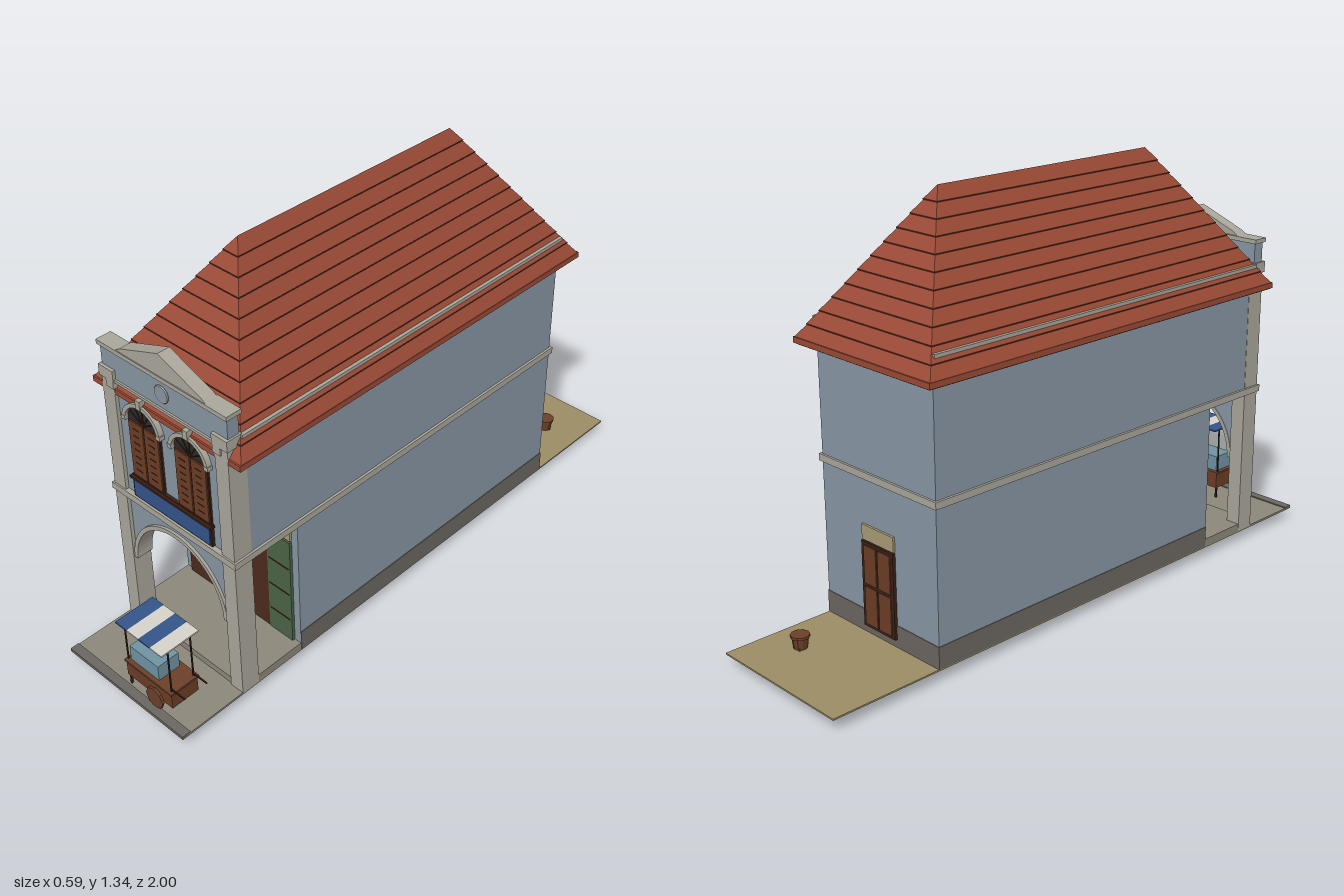
import * as THREE from 'three';

const material = (color, side = THREE.FrontSide) =>
  new THREE.MeshStandardMaterial({ color, side, flatShading: true });
const M = {
  wall: material(0x8796a3), stone: material(0xaaa69b), floor: material(0x8d877b), plinth: material(0x6b6661),
  yard: material(0x9c8d65), roof: material(0x9a4a35), soffit: material(0x5c2a1e), wood: material(0x6b3d25),
  dark: material(0x3a2117), shop: material(0x4c2b1f), green: material(0x4b6447), blue: material(0x34548a),
  glass: material(0x6f93a3), white: material(0xd5d3ca), fan: material(0x2c2b2b), tan: material(0xa99b78),
  leaf: material(0x3f6b35, THREE.DoubleSide), pot: material(0x6b4029),
};

function add(parent, name, geometry, mat, x = 0, y = 0, z = 0) {
  const mesh = new THREE.Mesh(geometry, mat);
  mesh.name = name;
  mesh.position.set(x, y, z);
  parent.add(mesh);
  return mesh;
}

// Box given by its extents along each axis
function box(parent, name, mat, x0, x1, y0, y1, z0, z1) {
  return add(parent, name, new THREE.BoxGeometry(x1 - x0, y1 - y0, z1 - z0), mat,
    (x0 + x1) / 2, (y0 + y1) / 2, (z0 + z1) / 2);
}

const extrude = (shape, depth) =>
  new THREE.ExtrudeGeometry(shape, { depth, bevelEnabled: false, curveSegments: 14 });

// Half-ring band for arch trims
function archBand(rx, ry, w, depth) {
  const s = new THREE.Shape();
  s.moveTo(rx, 0);
  s.absellipse(0, 0, rx, ry, 0, Math.PI, false);
  s.lineTo(-rx + w, 0);
  s.absellipse(0, 0, rx - w, ry - w, Math.PI, 0, true);
  return extrude(s, depth);
}

// Rectangular frustum from two [x0, x1, z0, z1] outlines
function frustum([ax0, ax1, az0, az1], ay, [bx0, bx1, bz0, bz1], by) {
  const g = new THREE.BoxGeometry(1, 1, 1);
  const p = g.attributes.position;
  for (let i = 0; i < p.count; i++) {
    const top = p.getY(i) > 0, right = p.getX(i) > 0, front = p.getZ(i) > 0;
    p.setXYZ(i, top ? (right ? bx1 : bx0) : (right ? ax1 : ax0), top ? by : ay,
      top ? (front ? bz1 : bz0) : (front ? az1 : az0));
  }
  g.computeVertexNormals();
  return g;
}

function buildRoof() {
  const g = new THREE.Group();
  g.name = 'roof';
  const courses = 11, y0 = 0.905, y1 = 1.342;
  const outline = (t, grow = 0) => {
    const x = 0.292 * (1 - t) + grow;
    return [-x, x, -0.675 + 0.292 * t - grow, 0.762 - 0.292 * t + grow];
  };
  box(g, 'eaves', M.roof, -0.295, 0.295, 0.89, 0.908, -0.68, 0.768);
  box(g, 'soffit', M.soffit, -0.29, 0.29, 0.887, 0.892, -0.675, 0.762);
  // Overlapping tile courses
  for (let i = 0; i < courses; i++) {
    const a = i / courses, b = (i + 1) / courses, h = y1 - y0;
    add(g, 'tileCourse', frustum(outline(a, 0.003), y0 + h * a, outline(b), y0 + h * b), M.roof);
    if (i) add(g, 'courseShadow', frustum(outline(a, 0.0032), y0 + h * a - 0.002,
      outline(a, 0.0032), y0 + h * a + 0.001), M.soffit);
  }
  return g;
}

function buildWindow(x) {
  const g = new THREE.Group();
  g.name = 'archedWindow';
  g.position.set(x, 0, 0);
  const half = new THREE.Shape();
  half.absarc(0, 0, 0.066, 0, Math.PI, false);
  add(g, 'fanlight', extrude(half, 0.006), M.fan, 0, 0.832, 0.758);
  add(g, 'windowArch', archBand(0.078, 0.074, 0.013, 0.018), M.stone, 0, 0.832, 0.757);
  box(g, 'keystone', M.stone, -0.009, 0.009, 0.895, 0.925, 0.757, 0.778);
  box(g, 'windowFrame', M.dark, -0.066, 0.066, 0.63, 0.837, 0.757, 0.764);
  for (let i = 1; i < 6; i++) {
    const a = i * Math.PI / 6;
    const bar = add(g, 'fanlightBar', new THREE.BoxGeometry(0.06, 0.003, 0.003), M.dark,
      Math.cos(a) * 0.032, 0.832 + Math.sin(a) * 0.032, 0.765);
    bar.rotation.z = a;
  }
  for (const s of [-1, 1]) {
    const c = s * 0.032;
    box(g, 'shutter', M.wood, c - 0.029, c + 0.029, 0.637, 0.828, 0.758, 0.768);
    for (let k = 0; k < 7; k++)
      box(g, 'louvreSlot', M.dark, c - 0.012, c + 0.012, 0.66 + k * 0.024, 0.663 + k * 0.024, 0.764, 0.769);
  }
  box(g, 'springer', M.stone, -0.08, -0.064, 0.828, 0.842, 0.757, 0.776);
  box(g, 'springer', M.stone, 0.064, 0.08, 0.828, 0.842, 0.757, 0.776);
  return g;
}

function buildFacade() {
  const g = new THREE.Group();
  g.name = 'facade';
  for (const s of [-1, 1]) {
    const px = s * 0.226;
    box(g, 'pillar', M.stone, px - 0.025, px + 0.025, 0.045, 0.96, 0.705, 0.769);
    box(g, 'pillarCap', M.stone, px - 0.03, px + 0.03, 0.935, 0.97, 0.72, 0.774);
    box(g, 'pillarNeck', M.stone, s * 0.213 - 0.015, s * 0.213 + 0.015, 0.91, 0.935, 0.74, 0.774);
  }
  // Wall over the street arch
  const arch = new THREE.Shape();
  arch.moveTo(0.202, 0.3);
  arch.lineTo(0.202, 0.54);
  arch.lineTo(-0.202, 0.54);
  arch.lineTo(-0.202, 0.3);
  arch.absellipse(0, 0.3, 0.195, 0.195, Math.PI, 0, true);
  add(g, 'archWall', extrude(arch, 0.045), M.wall, 0, 0, 0.712);
  add(g, 'archTrim', archBand(0.2, 0.205, 0.014, 0.056), M.stone, 0, 0.295, 0.71);
  // Windows, spandrel panel and sill
  g.add(buildWindow(-0.095), buildWindow(0.095));
  box(g, 'panelFrame', M.dark, -0.163, 0.163, 0.555, 0.632, 0.755, 0.768);
  box(g, 'bluePanel', M.blue, -0.157, 0.157, 0.56, 0.62, 0.757, 0.771);
  box(g, 'windowSill', M.dark, -0.167, 0.167, 0.622, 0.63, 0.755, 0.776);
  // Parapet with pediment and medallion
  box(g, 'parapet', M.wall, -0.25, 0.25, 0.94, 1.037, 0.725, 0.764);
  box(g, 'parapetBase', M.stone, -0.2, 0.2, 0.932, 0.941, 0.725, 0.77);
  box(g, 'parapetCornice', M.stone, -0.257, 0.257, 1.034, 1.048, 0.719, 0.771);
  const ped = new THREE.Shape([[-0.2, 1.034], [0.2, 1.034], [0.16, 1.06], [0, 1.12], [-0.16, 1.06]]
    .map(([x, y]) => new THREE.Vector2(x, y)));
  add(g, 'pediment', extrude(ped, 0.042), M.stone, 0, 0, 0.726);
  add(g, 'medallion', new THREE.CylinderGeometry(0.024, 0.024, 0.01, 18), M.wall, 0, 0.99, 0.764).rotation.x = Math.PI / 2;
  add(g, 'medallionRing', new THREE.TorusGeometry(0.025, 0.003, 5, 20), M.stone, 0, 0.99, 0.767);
  return g;
}

function buildShopFront() {
  const g = new THREE.Group();
  g.name = 'shopFront';
  box(g, 'shopShutter', M.shop, -0.225, 0.13, 0.07, 0.455, 0.528, 0.538);
  box(g, 'greenDoor', M.green, 0.13, 0.225, 0.07, 0.455, 0.528, 0.54);
  for (const y of [0.15, 0.25, 0.35]) box(g, 'doorRail', M.dark, 0.137, 0.218, y, y + 0.003, 0.535, 0.542);
  box(g, 'transom', M.tan, -0.225, 0.225, 0.46, 0.51, 0.528, 0.538);
  for (let i = -3; i <= 3; i++) box(g, 'transomBar', M.dark, i * 0.055 - 0.002, i * 0.055 + 0.002, 0.46, 0.51, 0.53, 0.541);
  return g;
}

function buildCart() {
  const g = new THREE.Group();
  g.name = 'foodCart';
  box(g, 'cartBody', M.wood, -0.02, 0.175, 0.085, 0.14, 0.87, 0.967);
  box(g, 'cartTop', M.pot, -0.024, 0.179, 0.138, 0.145, 0.866, 0.971);
  box(g, 'glassCase', M.glass, -0.01, 0.112, 0.145, 0.198, 0.88, 0.957);
  for (const z of [0.865, 0.972])
    add(g, 'wheel', new THREE.CylinderGeometry(0.036, 0.036, 0.008, 8), M.pot, 0.105, 0.083, z).rotation.x = Math.PI / 2;
  for (const z of [0.878, 0.96]) {
    box(g, 'cartLeg', M.dark, -0.018, -0.012, 0.047, 0.09, z - 0.003, z + 0.003);
    box(g, 'handle', M.dark, 0.175, 0.225, 0.152, 0.156, z - 0.002, z + 0.002);
    for (const x of [-0.018, 0.168]) box(g, 'canopyPole', M.dark, x - 0.002, x + 0.002, 0.14, 0.303, z - 0.002, z + 0.002);
  }
  for (let i = 0; i < 4; i++)
    box(g, 'canopyStripe', i % 2 ? M.white : M.blue, -0.022 + i * 0.049, 0.027 + i * 0.049, 0.302, 0.307, 0.85, 0.987);
  return g;
}

function buildPlant() {
  const g = new THREE.Group();
  g.name = 'pottedPlant';
  g.position.set(0.125, 0.045, -0.83);
  add(g, 'pot', new THREE.CylinderGeometry(0.026, 0.021, 0.04, 10), M.pot, 0, 0.022, 0);
  add(g, 'potRim', new THREE.CylinderGeometry(0.029, 0.029, 0.008, 10), M.pot, 0, 0.04, 0);
  // Leaves droop outward below the pot
  for (let i = 0; i < 8; i++) {
    const pivot = new THREE.Group();
    pivot.rotation.y = i * Math.PI / 4;
    add(pivot, 'leaf', new THREE.ConeGeometry(0.006, 0.06, 4), M.leaf, 0.022, -0.013, 0).rotation.z = Math.PI + 0.25 + (i % 3) * 0.3;
    g.add(pivot);
  }
  return g;
}

export function createModel() {
  const model = new THREE.Group();
  model.name = 'shophouse';
  // Ground
  box(model, 'yard', M.yard, -0.25, 0.25, 0.04, 0.045, -1, 0.76);
  box(model, 'pavement', M.floor, -0.25, 0.25, 0.04, 0.047, 0.76, 1);
  box(model, 'kerb', M.plinth, -0.25, 0.25, 0.04, 0.051, 0.97, 1);
  box(model, 'arcadeFloor', M.floor, -0.25, 0.25, 0.043, 0.07, 0.52, 0.765);
  // Body
  box(model, 'groundFloor', M.wall, -0.25, 0.25, 0.045, 0.55, -0.63, 0.53);
  box(model, 'upperFloor', M.wall, -0.25, 0.25, 0.535, 0.895, -0.63, 0.758);
  box(model, 'basePlinth', M.plinth, -0.252, 0.252, 0.045, 0.115, -0.632, 0.529);
  box(model, 'stringCourse', M.stone, -0.258, 0.258, 0.531, 0.553, -0.637, 0.774);
  box(model, 'sideCornice', M.stone, -0.262, 0.262, 0.957, 0.968, -0.632, 0.725);
  // Back door
  box(model, 'backDoorFrame', M.dark, -0.07, 0.07, 0.07, 0.34, -0.64, -0.62);
  for (const s of [-1, 1]) for (const y of [0.08, 0.21])
    box(model, 'backDoorPanel', M.wood, s * 0.031 - 0.027, s * 0.031 + 0.027, y, y + 0.12, -0.643, -0.63);
  box(model, 'backDoorLintel', M.tan, -0.07, 0.07, 0.343, 0.39, -0.637, -0.62);
  model.add(buildRoof(), buildFacade(), buildShopFront(), buildCart(), buildPlant());
  return model;
}
